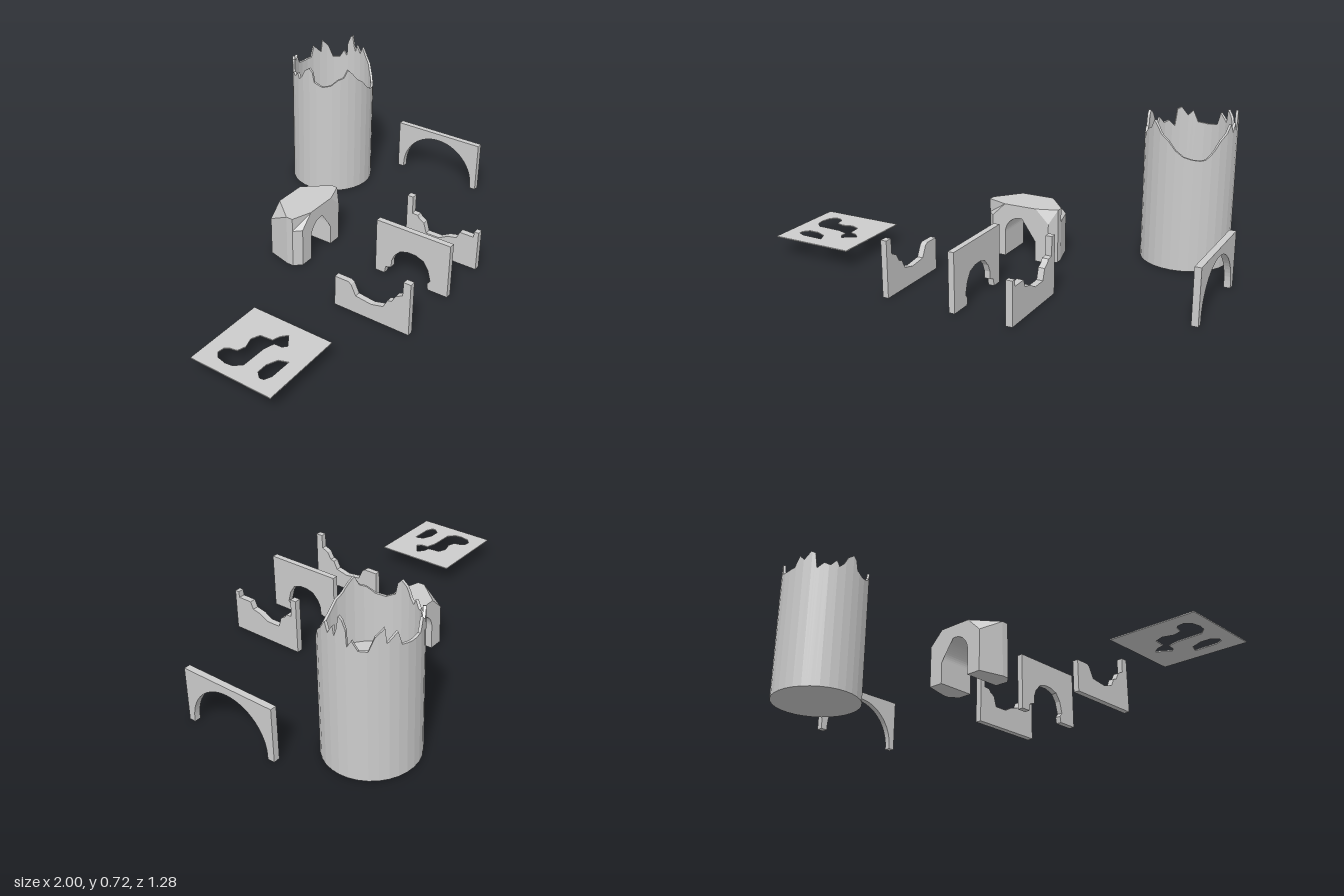
import * as THREE from 'three';

const material = new THREE.MeshStandardMaterial({ color: 0xcccccc, flatShading: true, side: THREE.DoubleSide });

function addMesh(group, name, geometry) {
  const mesh = new THREE.Mesh(geometry, material);
  mesh.name = name;
  group.add(mesh);
  return mesh;
}

const toShape = (pts) => new THREE.Shape(pts.map(([x, y]) => new THREE.Vector2(x, y)));

// Wall slab: a (z, y) outline given thickness along x
function wallSlab(shape, x, thickness) {
  const g = new THREE.ExtrudeGeometry(shape, { depth: thickness, bevelEnabled: false, curveSegments: 16 });
  return g.rotateY(-Math.PI / 2).translate(x + thickness / 2, 0, 0);
}

// Broken top of the tower: [degrees from +z towards +x, height]
const RIM = [
  [0, 0.56], [10, 0.535], [20, 0.525], [31, 0.52], [38, 0.525], [48, 0.56], [57, 0.605], [66, 0.63], [74, 0.67],
  [79, 0.63], [82, 0.65], [86, 0.67], [88, 0.63], [91, 0.66], [94, 0.72], [98, 0.705], [102, 0.67], [103, 0.60],
  [108, 0.63], [115, 0.59], [125, 0.59], [132, 0.65], [142, 0.685], [144, 0.62], [150, 0.64], [156, 0.66],
  [161, 0.60], [175, 0.595], [189, 0.60], [196, 0.655], [203, 0.63], [212, 0.67], [218, 0.66], [221, 0.58],
  [230, 0.61], [238, 0.60], [246, 0.63], [250, 0.60], [256, 0.62], [262, 0.66], [270, 0.68], [275, 0.66],
  [278, 0.61], [290, 0.59], [302, 0.60], [312, 0.63], [320, 0.64], [326, 0.68], [332, 0.66], [341, 0.62],
  [350, 0.60], [360, 0.56],
];

function rimHeight(deg) {
  const i = Math.max(1, RIM.findIndex((p) => p[0] >= deg));
  const [a, ha] = RIM[i - 1], [b, hb] = RIM[i];
  return ha + ((hb - ha) * (deg - a)) / (b - a);
}

function towerWall(outer, inner, sides) {
  const step = 360 / sides;
  const angles = new Set(RIM.map((p) => p[0]));
  for (let i = 0; i <= sides; i++) angles.add(i * step);
  const list = [...angles].sort((a, b) => a - b);
  const pos = [], index = [];
  list.forEach((deg, i) => {
    const t = THREE.MathUtils.degToRad(deg), half = Math.PI / sides;
    const k = Math.cos(half) / Math.cos(THREE.MathUtils.degToRad(deg % step) - half);
    const h = rimHeight(deg);
    for (const [r, y] of [[outer, 0], [outer, h], [inner, h], [inner, 0.3]]) {
      pos.push(r * k * Math.sin(t), y, r * k * Math.cos(t));
    }
    if (i === 0) return;
    const a = (i - 1) * 4, b = i * 4;
    for (let j = 0; j < 3; j++) index.push(a + j, b + j, b + j + 1, a + j, b + j + 1, a + j + 1);
  });
  const g = new THREE.BufferGeometry();
  g.setAttribute('position', new THREE.Float32BufferAttribute(pos, 3));
  g.setIndex(index);
  const flat = g.toNonIndexed();
  flat.computeVertexNormals();
  return flat;
}

// Gatehouse: arched section swept along z, its outer corners moved at each layer
function gatehouseGeometry() {
  const shape = new THREE.Shape();
  shape.moveTo(0.078, 0);
  shape.lineTo(2, 0);
  shape.lineTo(2, 0.19);
  shape.lineTo(3, 0.255);
  shape.lineTo(-3, 0.255);
  shape.lineTo(-2, 0.19);
  shape.lineTo(-2, 0);
  shape.lineTo(-0.078, 0);
  shape.lineTo(-0.078, 0.115);
  shape.absellipse(0, 0.115, 0.078, 0.08, Math.PI, 0, true);
  shape.lineTo(0.078, 0);
  const g = new THREE.ExtrudeGeometry(shape, { depth: 3, steps: 3, bevelEnabled: false, curveSegments: 14 });
  // Each layer: z, half width of the walls, half width of the roof
  const layers = [[-0.215, 0.148, 0.08], [-0.1, 0.178, 0.178], [-0.067, 0.178, 0.178], [-0.033, 0.145, 0.08]];
  const p = g.attributes.position;
  for (let i = 0; i < p.count; i++) {
    const [z, wall, roof] = layers[Math.round(p.getZ(i))];
    const x = p.getX(i), a = Math.abs(x);
    if (a > 2.5) p.setX(i, Math.sign(x) * roof);
    else if (a > 1) p.setX(i, Math.sign(x) * wall);
    p.setZ(i, z);
  }
  g.computeVertexNormals();
  return g;
}

export function createModel() {
  const model = new THREE.Group();
  model.name = 'ruins';

  // Ruined round tower with an inner floor
  const tower = new THREE.Group();
  tower.name = 'tower';
  tower.position.set(0.692, 0, -0.435);
  addMesh(tower, 'towerWall', towerWall(0.208, 0.196, 32));
  addMesh(tower, 'towerFloor', new THREE.CylinderGeometry(0.197, 0.197, 0.38, 32).translate(0, 0.19, 0));
  addMesh(tower, 'towerBase', new THREE.CircleGeometry(0.208, 32).rotateX(Math.PI / 2));
  model.add(tower);

  // Gatehouse with a tunnel
  addMesh(model, 'gatehouse', gatehouseGeometry()).position.x = 0.027;

  // Wide bridge arch
  const arch = new THREE.Shape();
  arch.moveTo(0.258, 0);
  arch.lineTo(0.288, 0);
  arch.lineTo(0.288, 0.255);
  arch.lineTo(-0.185, 0.255);
  arch.lineTo(-0.185, 0);
  arch.lineTo(-0.151, 0);
  arch.absellipse(0.0535, 0.015, 0.2045, 0.204, Math.PI, 0, true);
  addMesh(model, 'bridgeArch', wallSlab(arch, 0.982, 0.03));

  // Wall with a broken doorway
  addMesh(model, 'doorwayWall', wallSlab(toShape([
    [0.64, 0], [0.64, 0.27], [0.26, 0.27], [0.26, 0], [0.31, 0], [0.315, 0.035], [0.345, 0.045], [0.345, 0.08],
    [0.36, 0.115], [0.39, 0.147], [0.43, 0.158], [0.47, 0.157], [0.51, 0.142], [0.535, 0.105], [0.55, 0.05],
    [0.535, 0.03], [0.54, 0],
  ]), 0.065, 0.028));

  // Two collapsed walls
  addMesh(model, 'leftBrokenWall', wallSlab(toShape([
    [0.64, 0], [0.64, 0.2], [0.618, 0.2], [0.616, 0.17], [0.545, 0.17], [0.53, 0.135], [0.485, 0.125], [0.44, 0.1],
    [0.37, 0.1], [0.355, 0.15], [0.33, 0.165], [0.32, 0.18], [0.29, 0.182], [0.29, 0.27], [0.26, 0.27], [0.26, 0],
  ]), 0.332, 0.03));
  addMesh(model, 'rightBrokenWall', wallSlab(toShape([
    [0.64, 0], [0.64, 0.26], [0.605, 0.26], [0.603, 0.19], [0.57, 0.175], [0.55, 0.14], [0.53, 0.135], [0.51, 0.095],
    [0.45, 0.08], [0.41, 0.085], [0.37, 0.09], [0.345, 0.14], [0.33, 0.15], [0.26, 0.15], [0.26, 0],
  ]), -0.264, 0.028));

  // Thin floor panel with ragged holes; outline y is -z
  const panel = toShape([[-1, -0.47], [-0.597, -0.47], [-0.597, -0.067], [-1, -0.067]]);
  const holes = [
    [[-0.945, 0.2], [-0.935, 0.155], [-0.91, 0.133], [-0.88, 0.137], [-0.865, 0.155], [-0.858, 0.19], [-0.82, 0.203],
      [-0.77, 0.188], [-0.73, 0.205], [-0.724, 0.265], [-0.69, 0.275], [-0.662, 0.3], [-0.722, 0.34],
      [-0.738, 0.32], [-0.74, 0.285], [-0.79, 0.27], [-0.91, 0.267], [-0.94, 0.235]],
    [[-0.935, 0.365], [-0.91, 0.338], [-0.86, 0.338], [-0.81, 0.36], [-0.795, 0.402], [-0.9, 0.4], [-0.932, 0.385]],
  ];
  for (const pts of holes) panel.holes.push(toShape(pts.map(([x, z]) => [x, -z])));
  addMesh(model, 'floorPanel', new THREE.ExtrudeGeometry(panel, { depth: 0.005, bevelEnabled: false })
    .rotateX(-Math.PI / 2).translate(0, 0.088, 0));

  return model;
}
